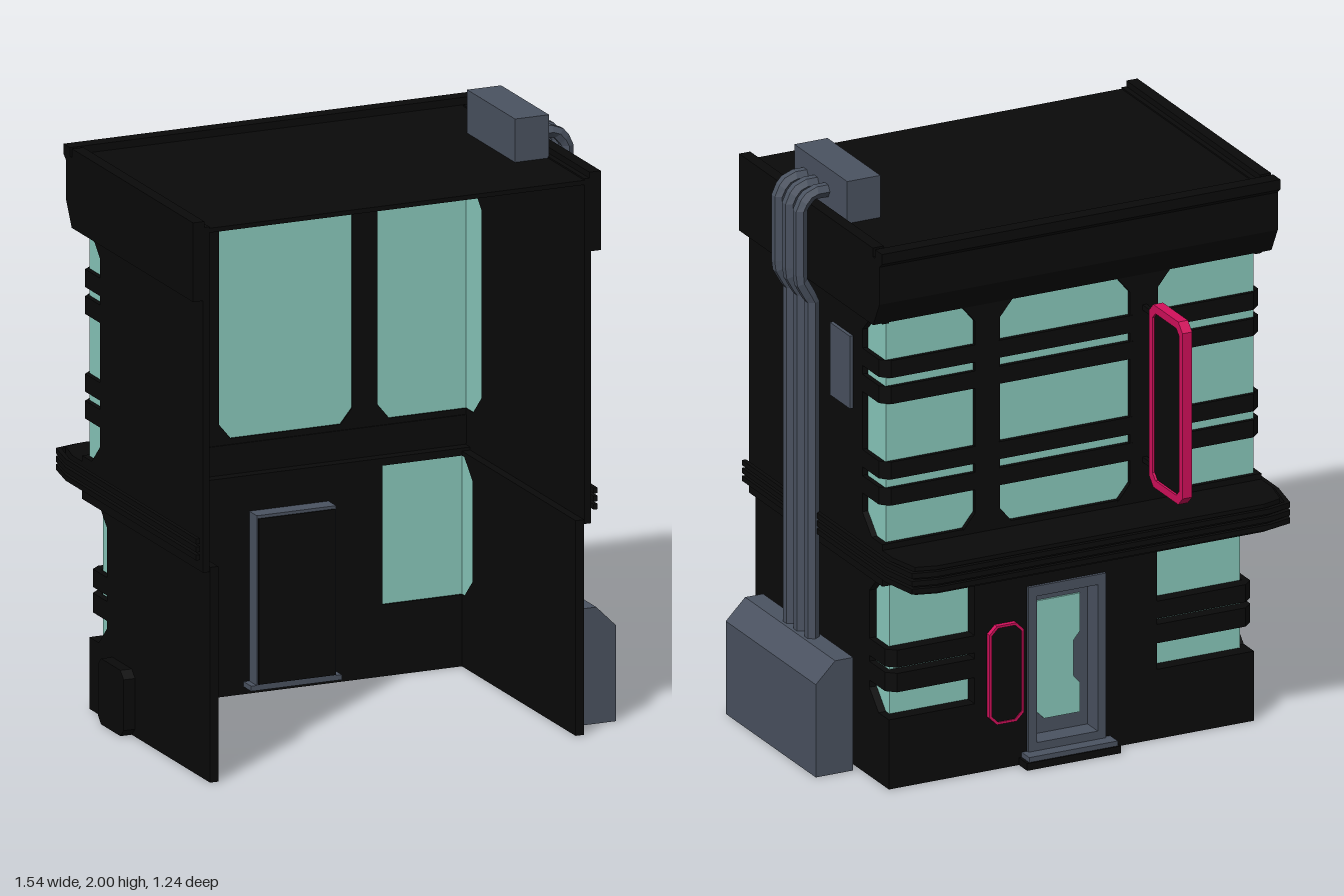
import * as THREE from 'three';

const flat = (name, color, extra = {}) =>
  Object.assign(new THREE.MeshStandardMaterial({ color, ...extra }), { name });

export function createModel() {
  const root = new THREE.Group();
  const black = flat('black wall', 0x0a0a0a);
  const grey = flat('grey metal', 0x4b5361);
  const pink = flat('pink neon', 0xd4105c);
  const glass = flat('green glass', 0x8bccbf, { side: THREE.DoubleSide });

  const add = (name, geo, mat) => {
    const m = new THREE.Mesh(geo, mat);
    m.name = name;
    root.add(m);
    return m;
  };
  // box from its minimum and maximum corners
  const box = (name, mat, x0, x1, y0, y1, z0, z1) =>
    add(name, new THREE.BoxGeometry(x1 - x0, y1 - y0, z1 - z0)
      .translate((x0 + x1) / 2, (y0 + y1) / 2, (z0 + z1) / 2), mat);
  const extrude = (pts, depth, hole) => {
    const v = (list) => list.map((p) => new THREE.Vector2(p[0], p[1]));
    const s = new THREE.Shape(v(pts));
    if (hole) s.holes.push(new THREE.Path(v(hole)));
    return new THREE.ExtrudeGeometry(s, { depth, bevelEnabled: false });
  };
  // outlines in (x,y), (z,y) and (x,z), extruded along the remaining axis
  const alongZ = (name, mat, pts, z0, z1, hole) =>
    add(name, extrude(pts, z1 - z0, hole).translate(0, 0, z0), mat);
  const alongX = (name, mat, pts, x0, x1, hole) =>
    add(name, extrude(pts, x1 - x0, hole).rotateY(-Math.PI / 2).translate(x1, 0, 0), mat);
  const alongY = (name, mat, pts, y0, y1) =>
    add(name, extrude(pts, y1 - y0).rotateX(Math.PI / 2).translate(0, y1, 0), mat);
  const rect = (a0, a1, b0, b1) => [[a0, b0], [a1, b0], [a1, b1], [a0, b1]];
  const octagon = (a0, a1, b0, b1, c) => [[a0 + c, b0], [a1 - c, b0], [a1, b0 + c], [a1, b1 - c],
    [a1 - c, b1], [a0 + c, b1], [a0, b1 - c], [a0, b0 + c]];
  const pane = (name, x0, x1, y0, y1, z) =>
    add(name, new THREE.PlaneGeometry(x1 - x0, y1 - y0)
      .translate((x0 + x1) / 2, (y0 + y1) / 2, z), glass);

  // one storey: side walls with chamfered corner openings, wrapping glass and bars
  const storey = (o) => {
    const { xl, xr, y0, y1, w0, w1, zf, zg, inset, bars } = o;
    const wall = [[0.62, y0], [zf, y0], [zf, w0], [-0.24, w0], [-0.175, w0 + 0.065],
      [-0.175, w1 - 0.065], [-0.24, w1], [zf, w1], [zf, y1], [0.62, y1]];
    alongX('sideWall', black, wall, xl, xl + inset + 0.003);
    alongX('sideWall', black, wall, xr - inset - 0.003, xr);
    for (const [edge, s, inner] of [[xl, 1, -0.36], [xr, -1, 0.3]]) {
      const g = edge + s * inset;
      pane('cornerWindow', Math.min(g, inner), Math.max(g, inner), w0, w1, zg);
      add('cornerWindowSide', new THREE.PlaneGeometry(-0.17 - zg, w1 - w0).rotateY(Math.PI / 2)
        .translate(g, (w0 + w1) / 2, (zg - 0.17) / 2), glass);
      for (const [b0, b1] of bars)
        alongY('windowBar', black, [[inner, zg - 0.004], [inner, zf - 0.002],
          [edge + s * 0.03, zf - 0.002], [edge, zf + 0.025], [edge, -0.17],
          [g - s * 0.004, -0.17], [g - s * 0.004, zg - 0.004]], b0, b1);
    }
  };

  // lower storey with the doorway in its middle
  storey({ xl: -0.71, xr: 0.61, y0: 0, y1: 0.72, w0: 0.24, w1: 0.705, zf: -0.31, zg: -0.265,
    inset: 0.026, bars: [[0.33, 0.395], [0.415, 0.475]] });
  alongZ('doorWall', black, [[-0.71, 0], [0.61, 0], [0.61, 0.24], [0.3, 0.24], [0.3, 0.705],
    [0.61, 0.705], [0.61, 0.73], [-0.71, 0.73], [-0.71, 0.705], [-0.36, 0.705], [-0.36, 0.24],
    [-0.71, 0.24]], -0.312, -0.258, rect(-0.17, 0.11, 0.04, 0.61));

  // upper storey with three windows
  const upperBars = [[0.98, 1.04], [1.07, 1.13], [1.33, 1.39], [1.42, 1.48]];
  storey({ xl: -0.735, xr: 0.635, y0: 0.705, y1: 1.86, w0: 0.85, w1: 1.61, zf: -0.315, zg: -0.3,
    inset: 0.02, bars: upperBars });
  pane('middleWindow', -0.3, 0.25, 0.84, 1.62, -0.3);
  for (const [a, b] of [[-0.36, -0.26], [0.21, 0.3]])
    alongZ('windowPillar', black, [[a - 0.045, 0.845], [b + 0.045, 0.845], [b, 0.9], [b, 1.56],
      [b + 0.045, 1.615], [a - 0.045, 1.615], [a, 1.56], [a, 0.9]], -0.316, -0.294);
  for (const [b0, b1] of upperBars) box('windowBar', black, -0.27, 0.22, b0, b1, -0.317, -0.302);
  box('upperSill', black, -0.735, 0.635, 0.705, 0.85, -0.315, -0.294);

  // canopy over the entrance with three rails around it
  const outline = (e, zEnd) => [[-0.735 - e, zEnd], [-0.735 - e, -0.39], [-0.71 - e, -0.495 - e],
    [-0.64 - e / 2, -0.515 - e], [0.54 + e / 2, -0.515 - e], [0.61 + e, -0.495 - e],
    [0.635 + e, -0.39], [0.635 + e, zEnd]];
  alongY('canopy', black, outline(0, -0.29), 0.735, 0.83);
  for (const y of [0.758, 0.785, 0.812])
    alongY('canopyRail', black, [...outline(0.024, 0.62), ...outline(0.01, 0.62).reverse()],
      y - 0.009, y + 0.009);

  // cornice and roof
  alongX('cornice', black, [[-0.38, 1.88], [-0.38, 1.845], [-0.362, 1.83], [-0.362, 1.7],
    [-0.318, 1.615], [-0.294, 1.615], [-0.294, 1.85], [-0.33, 1.85], [-0.33, 1.88]], -0.77, 0.67);
  box('roofDeck', black, -0.76, 0.66, 1.84, 1.855, -0.33, 0.62);
  box('corniceSide', black, -0.77, -0.73, 1.615, 1.88, -0.315, 0.62);
  box('corniceSide', black, 0.63, 0.67, 1.615, 1.88, -0.315, 0.62);

  // recessed door, its frame and step
  alongZ('doorFrame', grey, rect(-0.17, 0.11, 0.04, 0.61), -0.322, -0.2,
    rect(-0.14, 0.08, 0.07, 0.575));
  box('doorBack', black, -0.165, 0.105, 0.045, 0.6, -0.21, -0.195);
  box('door', grey, -0.14, 0.08, 0.07, 0.575, -0.25, -0.21);
  alongZ('doorGlass', glass, [[-0.11, 0.12], [0.02, 0.12], [0.05, 0.15], [0.05, 0.53],
    [-0.11, 0.53], [-0.11, 0.4], [-0.085, 0.37], [-0.085, 0.25], [-0.11, 0.22]], -0.257, -0.25);
  box('doorStep', black, -0.2, 0.14, 0, 0.025, -0.37, -0.3);
  box('stepTop', grey, -0.19, 0.13, 0.025, 0.042, -0.365, -0.2);

  // notice panel beside the door
  alongZ('noticePanel', black, octagon(0.135, 0.25, 0.165, 0.495, 0.025), -0.325, -0.31);
  alongZ('noticeTrim', pink, octagon(0.13, 0.255, 0.16, 0.5, 0.027), -0.329, -0.312,
    octagon(0.138, 0.247, 0.168, 0.492, 0.024));

  // hanging sign on two brackets
  alongX('signFrame', pink, octagon(-0.615, -0.38, 0.915, 1.545, 0.03), -0.33, -0.295,
    octagon(-0.59, -0.405, 0.942, 1.518, 0.02));
  alongX('signPanel', black, octagon(-0.592, -0.403, 0.94, 1.52, 0.02), -0.322, -0.303);
  for (const y of [0.975, 1.5])
    box('signBracket', black, -0.32, -0.305, y - 0.009, y + 0.009, -0.385, -0.3);

  // small hatch low on the plain side
  alongX('sideHatch', black, octagon(-0.16, 0.04, 0, 0.22, 0.025), -0.75, -0.7);

  // machinery: ground unit, roof unit, wall box and three conduits
  alongZ('groundUnit', grey, [[0.635, 0], [0.77, 0], [0.77, 0.32], [0.7, 0.39], [0.635, 0.39]],
    -0.11, 0.52);
  box('roofUnit', grey, 0.495, 0.615, 1.85, 2, -0.03, 0.34);
  box('wallBox', grey, 0.63, 0.647, 1.25, 1.5, -0.11, 0.03);
  const route = [[0.668, 0.36], [0.668, 1.55], [0.71, 1.625], [0.71, 1.88], [0.672, 1.922],
    [0.6, 1.922]];
  for (const z of [0.115, 0.19, 0.265]) {
    const path = new THREE.CurvePath();
    for (let i = 1; i < route.length; i++)
      path.add(new THREE.LineCurve3(new THREE.Vector3(...route[i - 1], z),
        new THREE.Vector3(...route[i], z)));
    const pipe = add('conduit', new THREE.TubeGeometry(path, 60, 0.024, 6).toNonIndexed(), grey);
    pipe.geometry.computeVertexNormals();
  }
  return root;
}
